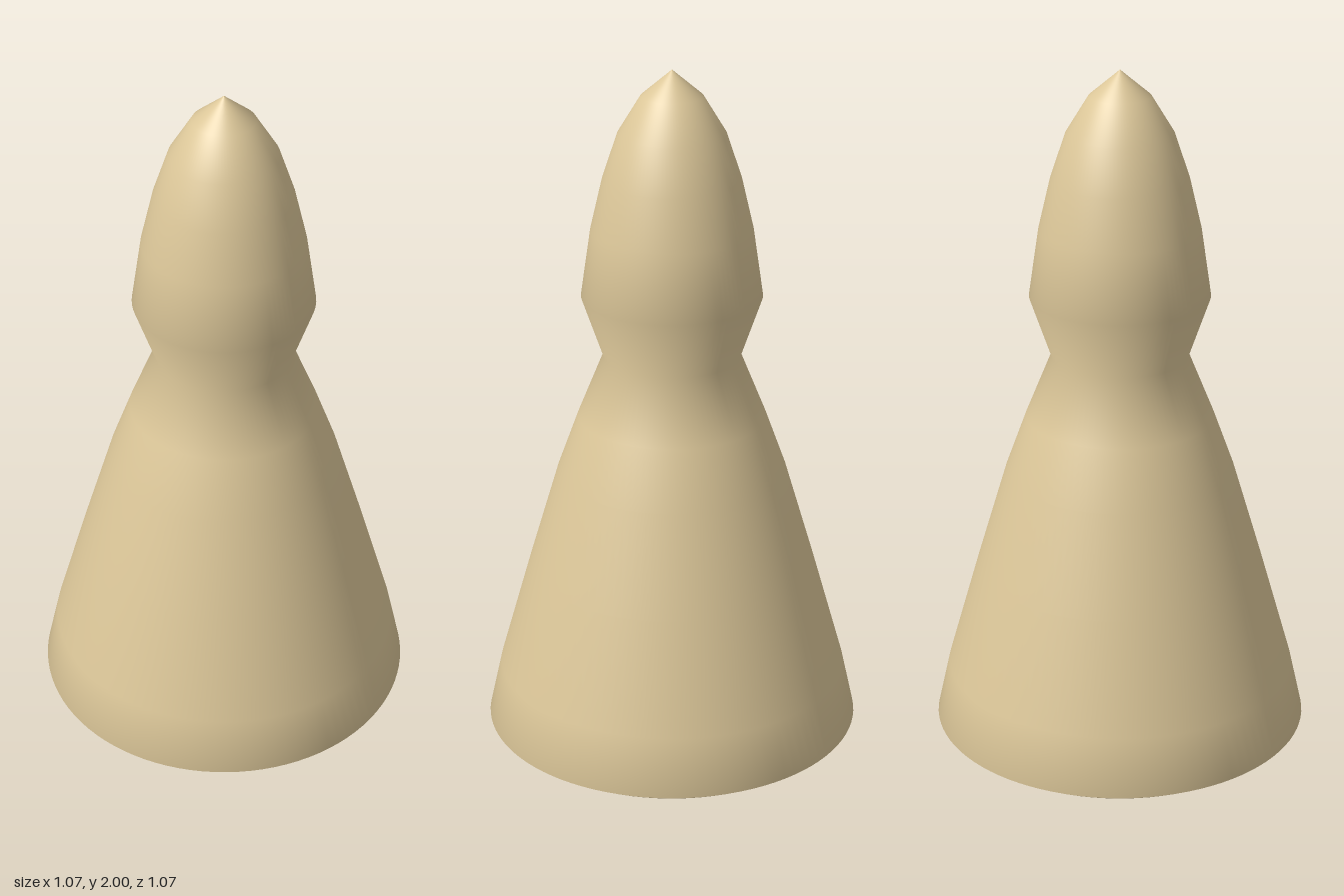
import * as THREE from 'three';

// Half-profile [radius, height], from the underside up to the tip
const PROFILE = [
  // shallow domed underside and rim
  [0, 0], [0.31, 0.027], [0.495, 0.053], [0.537, 0.08],
  // flared skirt
  [0.5, 0.245], [0.41, 0.56], [0.325, 0.845], [0.265, 1.01], [0.192, 1.19],
  // neck opening into the pointed head
  [0.252, 1.365], [0.224, 1.555], [0.19, 1.7], [0.148, 1.825], [0.085, 1.928], [0, 2],
];

export function createModel() {
  const group = new THREE.Group();
  group.name = 'gamePiece';

  // One turned body, smooth all round
  const points = PROFILE.map(([r, y]) => new THREE.Vector2(r, y));
  const body = new THREE.Mesh(
    new THREE.LatheGeometry(points, 96),
    new THREE.MeshStandardMaterial({ color: 0xdcc799 })
  );
  body.name = 'turnedBody';
  group.add(body);

  return group;
}
